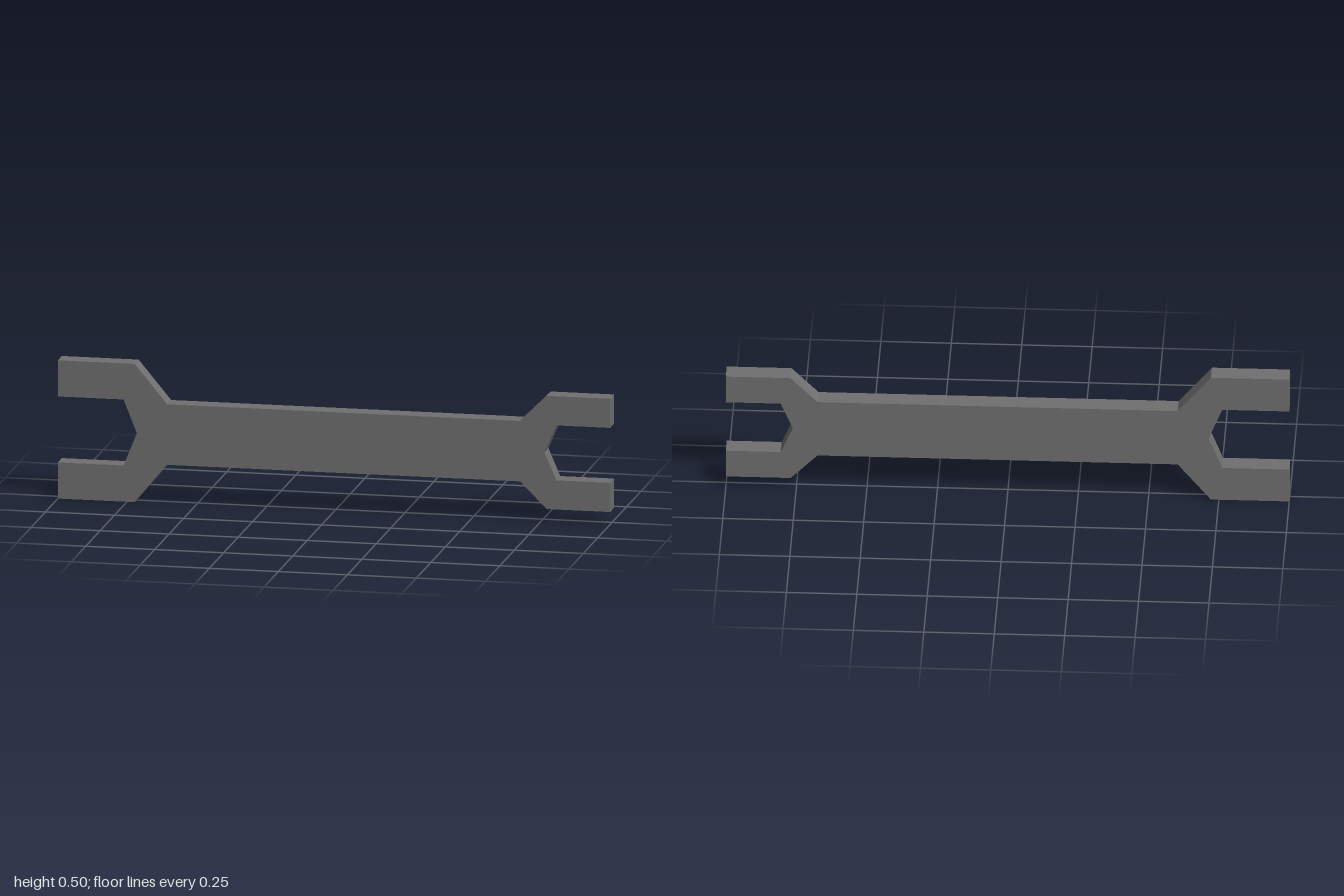
import * as THREE from 'three';

const MID_Y = 0.2515; // height of the long axis
const DEPTH = 0.07;

export function createModel() {
  const group = new THREE.Group();
  group.name = 'openEndedSpanner';

  const steel = new THREE.MeshStandardMaterial({ color: 0x707070, flatShading: true });
  steel.name = 'grey steel';

  // Lower half of the outline, from the small jaw's inner corner... to the large one's
  const lower = [
    [-0.762, -0.12], [-1, -0.12], [-1, -0.2515], [-0.722, -0.2515], // large jaw
    [-0.604, -0.11], [0.674, -0.11], // handle
    [0.77, -0.206], [1, -0.206], [1, -0.1], [0.805, -0.1], // small jaw
  ];
  const upper = lower.map(([x, y]) => [x, -y]).reverse();

  // Jaw throats come to a shallow point on the axis
  const outline = [[-0.714, 0], ...lower, [0.762, 0], ...upper];
  const shape = new THREE.Shape(outline.map(([x, y]) => new THREE.Vector2(x, y)));

  const geometry = new THREE.ExtrudeGeometry(shape, { depth: DEPTH, bevelEnabled: false });
  geometry.translate(0, MID_Y, -DEPTH / 2);

  const body = new THREE.Mesh(geometry, steel);
  body.name = 'spannerBody';
  group.add(body);
  return group;
}
